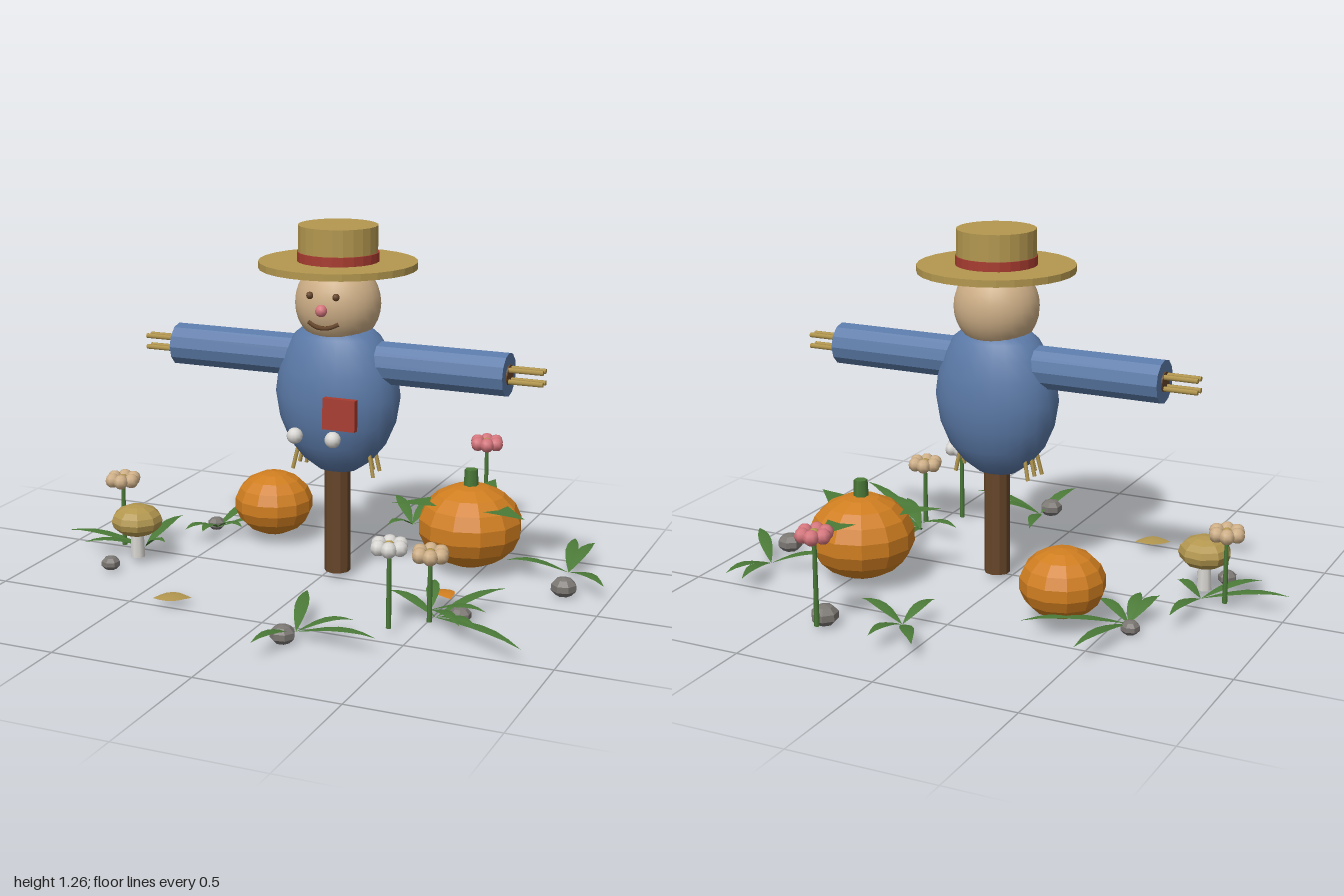
import * as THREE from 'three';

const mat = (name, color, extra = {}) =>
  Object.assign(new THREE.MeshStandardMaterial({ color, ...extra }), { name });

export function createModel() {
  const root = new THREE.Group();
  root.name = 'scarecrowPatch';
  const M = {
    straw: mat('straw', 0xb3974f, { side: THREE.DoubleSide }),
    blue: mat('denim', 0x5b7aa8),
    skin: mat('burlap', 0xcdae86),
    orange: mat('pumpkinOrange', 0xd07e20, { side: THREE.DoubleSide }),
    red: mat('red', 0xa83c30),
    brown: mat('wood', 0x664529),
    green: mat('leafGreen', 0x4b7a38, { side: THREE.DoubleSide }),
    gray: mat('stone', 0x7b7773),
    white: mat('white', 0xd8d6d2),
    pink: mat('pink', 0xd4757c),
  };

  const add = (parent, name, geo, material, x = 0, y = 0, z = 0) => {
    const m = new THREE.Mesh(geo, material);
    m.name = name;
    m.position.set(x, y, z);
    parent.add(m);
    return m;
  };
  const group = (name, x = 0, y = 0, z = 0) => {
    const g = new THREE.Group();
    g.name = name;
    g.position.set(x, y, z);
    root.add(g);
    return g;
  };
  const faceted = (geo) => {
    const g = geo.toNonIndexed();
    g.computeVertexNormals();
    return g;
  };
  // Thin rod between two points
  const rod = (parent, name, a, b, r, material) => {
    const path = new THREE.LineCurve3(new THREE.Vector3(...a), new THREE.Vector3(...b));
    const dir = path.v2.clone().sub(path.v1);
    const m = add(parent, name, new THREE.CylinderGeometry(r, r, dir.length(), 6), material);
    m.position.copy(path.getPoint(0.5));
    m.quaternion.setFromUnitVectors(new THREE.Vector3(0, 1, 0), dir.normalize());
    return m;
  };

  // ---- Scarecrow ----
  const sc = group('scarecrow', 0.045, 0, -0.031);
  add(sc, 'post', faceted(new THREE.CylinderGeometry(0.046, 0.046, 0.5, 10)), M.brown, 0, 0.27, 0);

  const profile = [[0, 0.392], [0.07, 0.397], [0.125, 0.435], [0.175, 0.495], [0.21, 0.575], [0.225, 0.665],
    [0.213, 0.755], [0.185, 0.825], [0.155, 0.875], [0.118, 0.905], [0, 0.91]];
  const body = add(sc, 'body', new THREE.LatheGeometry(profile.map((p) => new THREE.Vector2(...p)), 24), M.blue);
  body.scale.z = 0.72;

  const sleeves = add(sc, 'sleeves', faceted(new THREE.CylinderGeometry(0.075, 0.075, 1.235, 12)), M.blue, 0, 0.79, 0);
  sleeves.rotation.z = Math.PI / 2;
  for (const s of [-1, 1]) {
    const cuff = add(sc, 'armPole', new THREE.CylinderGeometry(0.035, 0.035, 0.006, 12), M.brown, s * 0.619, 0.79, 0);
    cuff.rotation.z = Math.PI / 2;
    for (let i = 0; i < 4; i++) {
      const a = (i + 0.5) * Math.PI / 2;
      const y = 0.79 + Math.sin(a) * 0.028, z = Math.cos(a) * 0.022;
      rod(sc, 'handStraw', [s * 0.6, y, z], [s * 0.74, y, z], 0.009, M.straw);
    }
    // Straw poking out under the shirt
    for (let i = 0; i < 4; i++) {
      const z = -0.045 + i * 0.03;
      rod(sc, 'hemStraw', [s * (0.12 + 0.01 * (i % 2)), 0.49, z * 0.8],
        [s * (0.14 + 0.012 * (i % 2)), 0.39 + 0.01 * (i % 3), z], 0.007, M.straw);
    }
  }

  // Patch and buttons
  const patch = add(sc, 'patch', new THREE.BoxGeometry(0.118, 0.108, 0.026), M.red, 0.083, 0.64, 0.178);
  patch.rotation.x = -0.03;
  for (const x of [-0.07, 0.07]) add(sc, 'button', new THREE.SphereGeometry(0.028, 12, 8), M.white, x, 0.558, 0.209);

  // Head and face
  add(sc, 'head', new THREE.SphereGeometry(1, 24, 16), M.skin, 0, 0.988, 0).scale.set(0.15, 0.15, 0.14);
  for (const x of [-0.048, 0.048]) add(sc, 'eye', new THREE.SphereGeometry(0.013, 8, 6), M.brown, x, 1.03, 0.131);
  add(sc, 'nose', new THREE.SphereGeometry(0.021, 10, 8), M.pink, 0, 0.983, 0.145);
  const smile = new THREE.CatmullRomCurve3([[-0.055, 0.937, 0.122], [-0.025, 0.924, 0.13], [0, 0.921, 0.133],
    [0.025, 0.924, 0.13], [0.055, 0.937, 0.122]].map((p) => new THREE.Vector3(...p)));
  add(sc, 'mouth', new THREE.TubeGeometry(smile, 12, 0.008, 6), M.brown);

  // Hat
  add(sc, 'hatBrim', faceted(new THREE.CylinderGeometry(0.273, 0.273, 0.024, 28)), M.straw, 0, 1.12, 0);
  add(sc, 'hatCrown', faceted(new THREE.CylinderGeometry(0.137, 0.137, 0.135, 24)), M.straw, 0, 1.188, 0);
  add(sc, 'hatBand', faceted(new THREE.CylinderGeometry(0.141, 0.141, 0.032, 24)), M.red, 0, 1.148, 0);

  // Pointed leaf blade: width swells in the middle, height follows a curve
  const blade = (from, to, width, heightAt, steps = 6) => {
    const a = new THREE.Vector2(...from), d = new THREE.Vector2(...to).sub(a);
    const n = new THREE.Vector2(-d.y, d.x).normalize();
    const pos = [], idx = [];
    for (let i = 0; i <= steps; i++) {
      const t = i / steps, w = width / 2 * Math.pow(Math.sin(Math.PI * t), 0.9 + 0.3 * t);
      for (const s of [-1, 0, 1]) {
        pos.push(a.x + d.x * t + n.x * w * s, heightAt(t) - (s ? 0.15 * w : 0), a.y + d.y * t + n.y * w * s);
      }
      if (i < steps) {
        const k = i * 3;
        for (const j of [k, k + 1]) idx.push(j, j + 1, j + 3, j + 1, j + 4, j + 3);
      }
    }
    const g = new THREE.BufferGeometry();
    g.setAttribute('position', new THREE.Float32BufferAttribute(pos, 3));
    g.setIndex(idx);
    // Orient every face upward
    const q = new THREE.Vector3(), ix = g.index.array;
    g.computeVertexNormals();
    q.fromBufferAttribute(g.attributes.normal, 7);
    if (q.y < 0) for (let i = 0; i < ix.length; i += 3) [ix[i], ix[i + 1]] = [ix[i + 1], ix[i]];
    g.computeVertexNormals();
    return g;
  };

  // ---- Pumpkins ----
  const pumpkin = (name, x, y, z, r, ry) => {
    const p = group(name, x, y, z);
    add(p, 'pumpkinBody', faceted(new THREE.SphereGeometry(1, 12, 9)), M.orange).scale.set(r, ry, r);
    return p;
  };
  pumpkin('smallPumpkin', -0.335, 0.143, -0.313, 0.147, 0.12);
  const big = pumpkin('bigPumpkin', 0.457, 0.17, -0.272, 0.188, 0.15);
  add(big, 'pumpkinStem', new THREE.CylinderGeometry(0.024, 0.027, 0.07, 6), M.green, 0, 0.17, 0);
  const tri = new THREE.Shape([[-0.058, 0.13], [0.058, 0.13], [0, 0.283]].map((p) => new THREE.Vector2(...p)));
  for (let i = 0; i < 3; i++) {
    const leaf = add(big, 'pumpkinLeaf', new THREE.ShapeGeometry(tri).rotateX(-Math.PI / 2), M.green, 0, 0.09, 0);
    leaf.rotation.y = i * Math.PI * 2 / 3;
  }

  // ---- Mushroom ----
  const mush = group('mushroom', -0.677, 0, 0.125);
  add(mush, 'mushroomStem', new THREE.CylinderGeometry(0.022, 0.027, 0.12, 8), M.white, 0, 0.08, 0);
  add(mush, 'mushroomCap', faceted(new THREE.SphereGeometry(1, 9, 8)), M.straw, 0, 0.157, 0).scale.set(0.093, 0.058, 0.093);

  // ---- Flowers ----
  for (const [x, y, z, m] of [[-0.785, 0.272, 0.032, M.skin], [0.36, 0.342, -0.738, M.pink],
    [0.42, 0.3, 0.425, M.white], [0.522, 0.254, 0.318, M.skin]]) {
    const f = group('flower', x, 0, z);
    add(f, 'flowerStem', new THREE.CylinderGeometry(0.007, 0.009, y - 0.02, 6), M.green, 0, (y + 0.02) / 2, 0);
    add(f, 'flowerCentre', new THREE.SphereGeometry(0.02, 8, 6), M.straw, 0, y, 0);
    for (let i = 0; i < 6; i++) {
      const a = i * Math.PI / 3 + 0.2;
      add(f, 'petal', new THREE.SphereGeometry(0.027, 8, 6), m, Math.cos(a) * 0.04, y, Math.sin(a) * 0.04);
    }
  }

  // ---- Grass tufts: centre, then leaf tips (x, z) ----
  const tufts = [
    [[0.11, -0.61], [-0.04, -0.82], [0.12, -0.82], [0.295, -0.555], [0.07, -0.455]],
    [[0.81, -0.32], [0.76, -0.58], [0.99, -0.12], [0.6, -0.25], [0.84, -0.56]],
    [[0.16, 0.58], [0.08, 0.31], [0.33, 0.505], [0.455, 0.625], [0.11, 0.815]],
    [[0.53, 0.28], [0.9, 0.53], [0.69, 0.03], [0.72, 0.42], [0.33, 0.2]],
    [[0.49, 0.22], [0.44, 0.04], [0.7, 0.27], [0.66, 0.42]],
    [[-0.56, -0.28], [-0.51, -0.62], [-0.265, -0.5], [-0.53, -0.1], [-0.42, -0.21], [-0.6, -0.1]],
    [[-0.7, 0.03], [-1, 0.078], [-0.87, 0.18], [-0.69, -0.25], [-0.6, 0.06]],
  ];
  for (const [c, ...tips] of tufts) {
    const t = group('grassTuft');
    for (const tip of tips) {
      add(t, 'grassBlade', blade(c, tip, 0.046, (u) => 0.022 + 0.05 * Math.sin(u * 2.2)), M.green);
    }
  }

  // ---- Fallen leaves ----
  add(root, 'strawLeaf', blade([-0.41, 0.5], [-0.29, 0.445], 0.09, (u) => 0.025 + 0.012 * Math.sin(u * Math.PI)), M.straw);
  add(root, 'orangeLeaf', blade([0.455, 0.04], [0.525, 0.12], 0.07, (u) => 0.03 + 0.012 * Math.sin(u * Math.PI)), M.orange);

  // ---- Stones ----
  for (const [x, z, r] of [[-0.58, -0.315, 0.034], [-0.72, 0.247, 0.035], [0.14, 0.64, 0.044],
    [0.603, 0.243, 0.039], [0.845, -0.138, 0.047], [0.365, -0.68, 0.05]]) {
    const s = add(root, 'stone', faceted(new THREE.SphereGeometry(r, 7, 5)), M.gray, x, 0.75 * r, z);
    s.scale.y = 0.75;
    s.rotation.y = x * 9;
  }
  return root;
}
